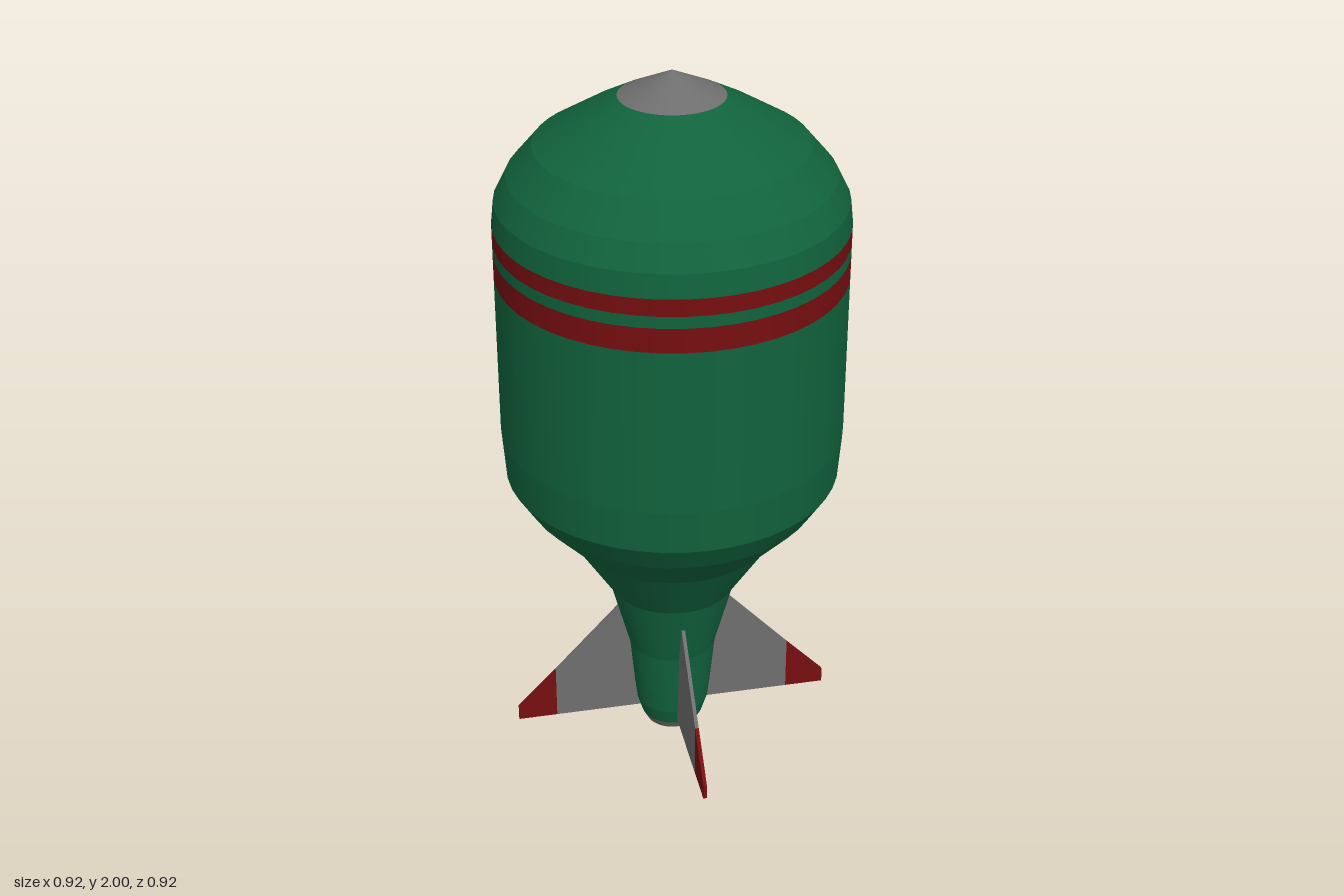
import * as THREE from 'three';
import { mergeGeometries } from 'three/addons/utils/BufferGeometryUtils.js';

const paint = (name, color) => {
  const m = new THREE.MeshStandardMaterial({ color });
  m.name = name;
  return m;
};

export function createModel() {
  const green = paint('green', 0x11633d);
  const grey = paint('grey', 0x6e6e6e);
  const red = paint('red', 0x760e10);
  const group = new THREE.Group();
  const add = (name, geometry, material, parent = group) => {
    const mesh = new THREE.Mesh(geometry, material);
    mesh.name = name;
    parent.add(mesh);
    return mesh;
  };

  // Turned shell: round sideways, with a crease between each pair of rings
  const turned = (points) => mergeGeometries(points.slice(1).map((p, i) =>
    new THREE.LatheGeometry([new THREE.Vector2(...points[i]), new THREE.Vector2(...p)], 48)));

  // Body from tail to nose, one [radius, height] list per colour
  add('tailCap', turned([[0, 0], [0.05, 0.002], [0.075, 0.015], [0.088, 0.04]]), grey);
  add('lowerBody', turned([
    [0.088, 0.04], [0.103, 0.09], [0.11, 0.15], [0.123, 0.29], [0.175, 0.49], [0.287, 0.67],
    [0.4, 0.795], [0.451, 0.877], [0.46, 1.0], [0.46, 1.458],
  ]), green);
  add('wideStripe', turned([[0.46, 1.458], [0.46, 1.524]]), red);
  add('stripeGap', turned([[0.46, 1.524], [0.46, 1.556]]), green);
  add('narrowStripe', turned([[0.46, 1.556], [0.46, 1.602]]), red);
  add('shoulder', turned([
    [0.46, 1.602], [0.453, 1.665], [0.42, 1.73], [0.352, 1.81], [0.225, 1.888], [0.137, 1.935],
  ]), green);
  add('noseTip', turned([[0.137, 1.935], [0, 2]]), grey);

  // Four thin fins with painted tips
  const thickness = 0.01;
  const plate = (points) => new THREE.ExtrudeGeometry(
    new THREE.Shape(points.map((p) => new THREE.Vector2(...p))),
    { depth: thickness, bevelEnabled: false },
  ).translate(0, 0, -thickness / 2);
  const finShape = plate([[0.08, 0.06], [0.34, 0.06], [0.34, 0.217], [0.152, 0.42], [0.1, 0.42]]);
  const tipShape = plate([[0.34, 0.06], [0.45, 0.06], [0.45, 0.102], [0.34, 0.217]]);
  for (let i = 0; i < 4; i++) {
    const fin = new THREE.Group();
    fin.name = `fin${i + 1}`;
    add('finBlade', finShape, grey, fin);
    add('finTip', tipShape, red, fin);
    fin.rotation.y = i * Math.PI / 2;
    group.add(fin);
  }
  return group;
}
